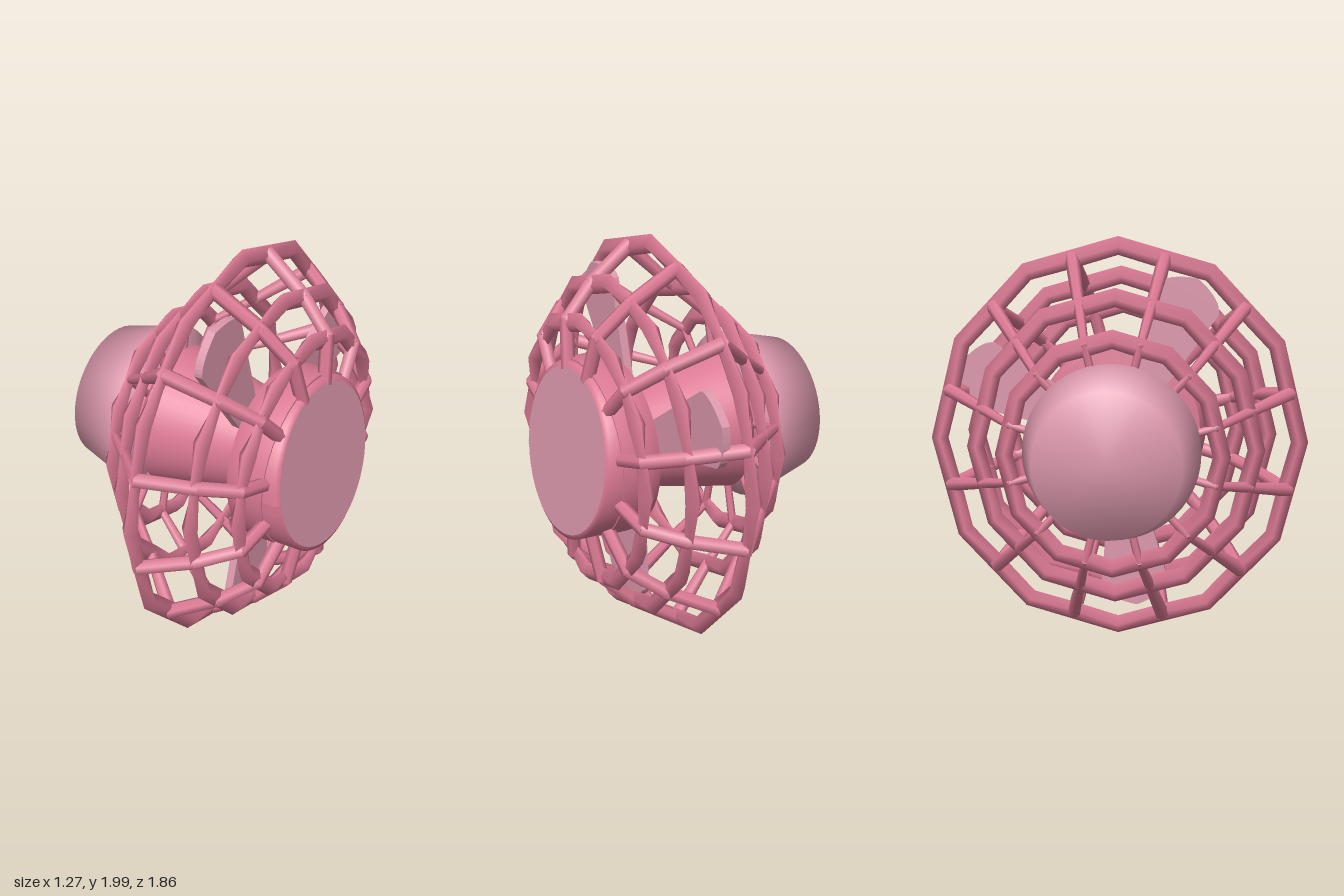
import * as THREE from 'three';
import { toCreasedNormals } from 'three/addons/utils/BufferGeometryUtils.js';

const CAGE_Y = 1.0, HUB_Y = 1.025, SQUASH = 0.935;

// Point on the cage: x along the axis, r from the axis, t from up toward +z
const polar = (x, r, t) =>
  new THREE.Vector3(x, CAGE_Y + r * Math.cos(t), SQUASH * r * Math.sin(t));

// Twelve-sided hoop with a kite section, wide at the corners and slim between
function hoopGeometry(x, R) {
  const N = 24, pos = [], idx = [];
  for (let i = 0; i < N; i++) {
    const t = (i / N) * Math.PI * 2, corner = i % 2 === 0;
    const r = corner ? R : R * Math.cos(Math.PI / 12);
    const w = corner ? 0.042 : 0.016;
    for (const [dx, dr] of [[0, 0], [w, -0.05], [0, -0.09], [-w, -0.05]])
      pos.push(...polar(x + dx, r + dr, t).toArray());
    for (let k = 0; k < 4; k++) {
      const a = i * 4 + k, b = i * 4 + (k + 1) % 4;
      const d = ((i + 1) % N) * 4 + k, c = ((i + 1) % N) * 4 + (k + 1) % 4;
      idx.push(a, d, c, a, c, b);
    }
  }
  const g = new THREE.BufferGeometry();
  g.setAttribute('position', new THREE.Float32BufferAttribute(pos, 3));
  g.setIndex(idx);
  g.computeVertexNormals();
  return g;
}

// Tapered rod between two points, slightly overlapping at its ends
function rodGeometry(a, b, ra, rb) {
  const dir = b.clone().sub(a), len = dir.length();
  const g = new THREE.CylinderGeometry(rb, ra, len + 0.02, 6);
  g.applyQuaternion(new THREE.Quaternion().setFromUnitVectors(
    new THREE.Vector3(0, 1, 0), dir.normalize()));
  const m = a.clone().add(b).multiplyScalar(0.5);
  return g.translate(m.x, m.y, m.z);
}

// Round part turned about the x axis from [radius, x] pairs
function turned(profile) {
  return new THREE.LatheGeometry(profile.map(p => new THREE.Vector2(...p)), 48)
    .rotateZ(-Math.PI / 2);
}

export function createModel() {
  const model = new THREE.Group();
  const pink = new THREE.MeshStandardMaterial({ color: 0xdc7a94 });
  pink.name = 'pink';
  const pale = new THREE.MeshStandardMaterial({ color: 0xdc98ac });
  pale.name = 'palePink';
  const add = (parent, name, geometry, material) => {
    const mesh = new THREE.Mesh(geometry, material);
    mesh.name = name;
    parent.add(mesh);
    return mesh;
  };

  // Cage hoops
  const cage = new THREE.Group();
  cage.name = 'cage';
  model.add(cage);
  for (const [x, r] of [[-0.28, 0.59], [-0.105, 0.765], [0.105, 0.995], [0.32, 0.84], [0.47, 0.68]])
    add(cage, 'hoop', hoopGeometry(x, r), pink);

  // Cage ribs: x, radius and thickness along each rib
  const rib = [
    [-0.28, 0.3, 0.018], [-0.28, 0.53, 0.02], [-0.105, 0.7, 0.027], [0.105, 0.92, 0.036],
    [0.32, 0.775, 0.035], [0.47, 0.625, 0.033], [0.495, 0.41, 0.033],
  ];
  for (let i = 0; i < 12; i++) {
    const t = (i + 0.5) * Math.PI / 6;
    const group = new THREE.Group();
    group.name = 'rib';
    cage.add(group);
    for (let k = 0; k < rib.length - 1; k++) {
      const [xa, ra, wa] = rib[k], [xb, rb, wb] = rib[k + 1];
      add(group, 'ribBar', rodGeometry(polar(xa, ra, t), polar(xb, rb, t), wa, wb), pink);
    }
  }

  // Rear motor housing with softly shaded edges
  add(model, 'motorHousing', turned([
    [0, -0.64], [0.335, -0.64], [0.415, -0.34], [0.3, -0.3],
  ]), pale).position.y = HUB_Y;

  // Neck, tapered shaft body and front flange
  add(model, 'shaftBody', toCreasedNormals(turned([
    [0.3, -0.33], [0.3, -0.28], [0.345, -0.24], [0.235, 0.27], [0.4, 0.29],
    [0.43, 0.36], [0.425, 0.49], [0, 0.5],
  ]), 0.5), pink).position.y = HUB_Y;

  // Front cap, its face slanted forward toward the bottom
  const slant = (g, from) => {
    const p = g.attributes.position;
    for (let i = 0; i < p.count; i++)
      if (p.getX(i) > from) p.setX(i, p.getX(i) - 0.139 * p.getY(i));
    g.computeVertexNormals();
    return g;
  };
  add(model, 'capSide', slant(turned([[0.42, 0.46], [0.414, 0.56], [0.39, 0.572]]), 0.5), pink)
    .position.y = HUB_Y;
  const face = new THREE.CircleGeometry(0.391, 48).rotateY(Math.PI / 2).translate(0.572, 0, 0);
  add(model, 'capFace', slant(face, 0.5), pale).position.y = HUB_Y;

  // Fan blades: flat paddles widening to a rounded tip
  const paddle = new THREE.Shape();
  paddle.moveTo(-0.07, 0.2);
  paddle.lineTo(0.07, 0.2);
  paddle.lineTo(0.17, 0.76);
  paddle.quadraticCurveTo(0.15, 0.83, 0, 0.875);
  paddle.quadraticCurveTo(-0.15, 0.83, -0.17, 0.76);
  paddle.closePath();
  for (const deg of [26, -66, 174]) {
    const g = new THREE.ExtrudeGeometry(paddle, { depth: 0.04, bevelEnabled: false, curveSegments: 8 });
    g.rotateY(Math.PI / 2).rotateX(deg * Math.PI / 180).translate(0.18, CAGE_Y, 0);
    add(model, 'fanBlade', g, pale);
  }
  return model;
}
